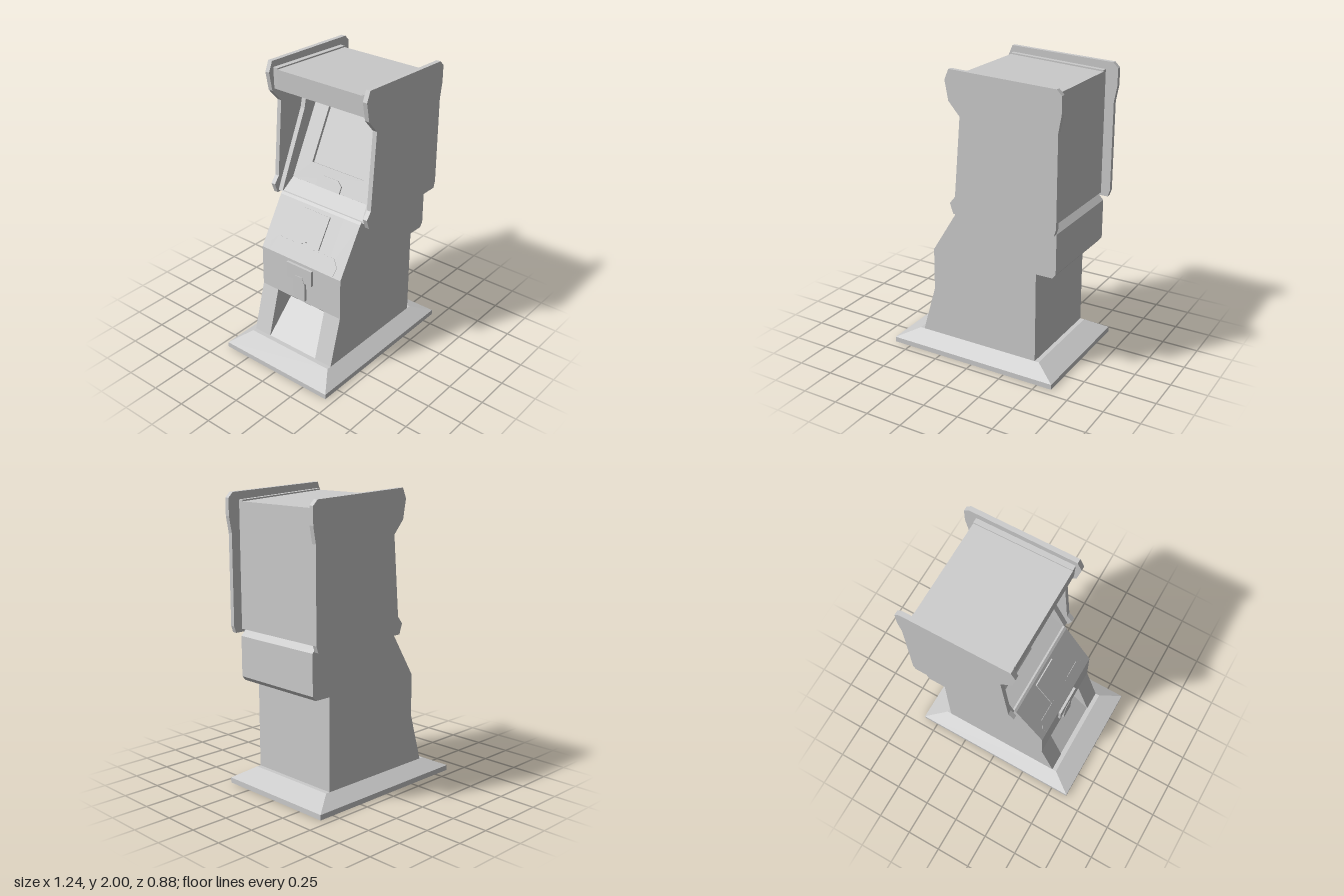
import * as THREE from 'three';

const material = new THREE.MeshStandardMaterial({ color: 0xcccccc, flatShading: true });

function add(parent, name, geometry) {
  const mesh = new THREE.Mesh(geometry, material);
  mesh.name = name;
  parent.add(mesh);
  return mesh;
}

const toVectors = (points) => points.map(([x, y]) => new THREE.Vector2(x, y));

// Side profile in x and y, extruded from z0 to z1
function slab(parent, name, points, z0, z1) {
  const shape = new THREE.Shape(toVectors(points));
  const geometry = new THREE.ExtrudeGeometry(shape, { depth: z1 - z0, bevelEnabled: false });
  return add(parent, name, geometry.translate(0, 0, z0));
}

// Thin plate on a surface facing -x: outline is [z, distance up the surface], lean is the surface's dx, dy
function plate(parent, name, outline, origin, lean, thickness, hole) {
  const shape = new THREE.Shape(toVectors(outline));
  if (hole) shape.holes.push(new THREE.Path(toVectors(hole)));
  const geometry = new THREE.ExtrudeGeometry(shape, { depth: thickness, bevelEnabled: false });
  const across = new THREE.Vector3(0, 0, 1);
  const up = new THREE.Vector3(lean[0], lean[1], 0).normalize();
  const out = new THREE.Vector3().crossVectors(across, up);
  const matrix = new THREE.Matrix4().makeBasis(across, up, out).setPosition(origin[0], origin[1], 0);
  return add(parent, name, geometry.applyMatrix4(matrix));
}

const rect = (halfWidth, low, high) =>
  [[-halfWidth, low], [halfWidth, low], [halfWidth, high], [-halfWidth, high]];

export function createModel() {
  const model = new THREE.Group();
  model.name = 'arcadeCabinet';

  // Plinth: flat slab with a sloping top
  add(model, 'plinthSlab', new THREE.BoxGeometry(1.23, 0.036, 0.885).translate(-0.008, 0.018, 0));
  const slope = new THREE.BoxGeometry(1.23, 0.069, 0.885);
  const p = slope.attributes.position;
  for (let i = 0; i < p.count; i++) {
    if (p.getY(i) > 0) {
      p.setX(i, Math.sign(p.getX(i)) * 0.468);
      p.setZ(i, Math.sign(p.getZ(i)) * 0.34);
    }
  }
  slope.computeVertexNormals();
  add(model, 'plinthSlope', slope.translate(-0.008, 0.0705, 0));

  // Lower cabinet: two cheeks and a middle with a wedge-shaped foot recess
  const shared = [
    [0.43, 0.1], [0.43, 0.735], [0.545, 0.735], [0.57, 0.765], [0.57, 1.038],
    [0.535, 1.075], [-0.13, 1.075], [-0.145, 1.06], [-0.345, 0.735], [-0.348, 0.44],
  ];
  const cheek = [[-0.447, 0.1], ...shared];
  const middle = [[-0.447, 0.1], ...shared, [-0.22, 0.32]];
  slab(model, 'lowerCheekLeft', cheek, -0.34, -0.205);
  slab(model, 'lowerMiddle', middle, -0.205, 0.205);
  slab(model, 'lowerCheekRight', cheek, 0.205, 0.34);

  // Upper cabinet: gently sloping roof, marquee, screen bay and back
  slab(model, 'upperCabinet', [
    [-0.14, 1.06], [0.5, 1.07], [0.535, 1.075], [0.535, 1.91], [-0.145, 1.948],
    [-0.14, 1.81], [0.298, 1.711], [-0.002, 1.131], [-0.02, 1.14],
  ], -0.34, 0.34);

  // Inner liners and outer side panels, mirrored
  const liner = [
    [-0.13, 1.07], [0.535, 1.075], [0.535, 1.92], [-0.145, 1.957],
    [-0.14, 1.81], [0.15, 1.78], [0.11, 1.6], [-0.1, 1.14],
  ];
  const panel = [
    [-0.14, 1.055], [0.585, 1.055], [0.6, 1.1], [0.6, 1.71], [0.62, 1.82], [0.62, 1.935],
    [0.585, 1.97], [-0.155, 2], [-0.185, 1.93], [-0.16, 1.8], [-0.08, 1.71],
    [-0.125, 1.175], [-0.165, 1.125],
  ];
  for (const side of [-1, 1]) {
    const label = side < 0 ? 'Left' : 'Right';
    const span = (a, b) => (side < 0 ? [-b, -a] : [a, b]);
    slab(model, 'liner' + label, liner, ...span(0.34, 0.375));
    slab(model, 'sidePanel' + label, panel, ...span(0.375, 0.407));
  }

  // Screen bezel with its opening, and the small hood at its foot
  const screenLean = [0.3, 0.58];
  plate(model, 'screenBezel', rect(0.34, 0, 0.65), [-0.002, 1.131], screenLean, 0.02, rect(0.22, 0.14, 0.58));
  plate(model, 'screenFootPlate', [
    [-0.13, 0], [0.07, 0], [0.07, 0.05], [0.03, 0.08], [-0.09, 0.08], [-0.13, 0.05],
  ], [-0.02, 1.14], screenLean, 0.01);

  // Control deck: card plate above a wide winged plate
  const deckOrigin = [-0.345, 0.735], deckLean = [0.2, 0.325];
  plate(model, 'cardPlate', [
    [-0.108, 0.125], [-0.04, 0.125], [0, 0.145], [0.04, 0.125], [0.108, 0.125], [0.108, 0.355], [-0.108, 0.355],
  ], deckOrigin, deckLean, 0.01);
  plate(model, 'controlPlate', [
    [-0.275, 0.003], [0.275, 0.003], [0.283, 0.065], [0.24, 0.117], [0.07, 0.115],
    [0.02, 0.135], [-0.02, 0.135], [-0.07, 0.115], [-0.24, 0.117], [-0.283, 0.065],
  ], deckOrigin, deckLean, 0.003);

  // Coin door with a tapered return flap hanging below
  plate(model, 'coinPlate', rect(0.108, 0, 0.115), [-0.345, 0.6], [0, 1], 0.018);
  plate(model, 'coinReturn', [
    [-0.05, 0], [0.05, 0], [0.05, 0.13], [0.03, 0.18], [-0.03, 0.18], [-0.05, 0.13],
  ], [-0.345, 0.46], [0, 1], 0.021);

  return model;
}
